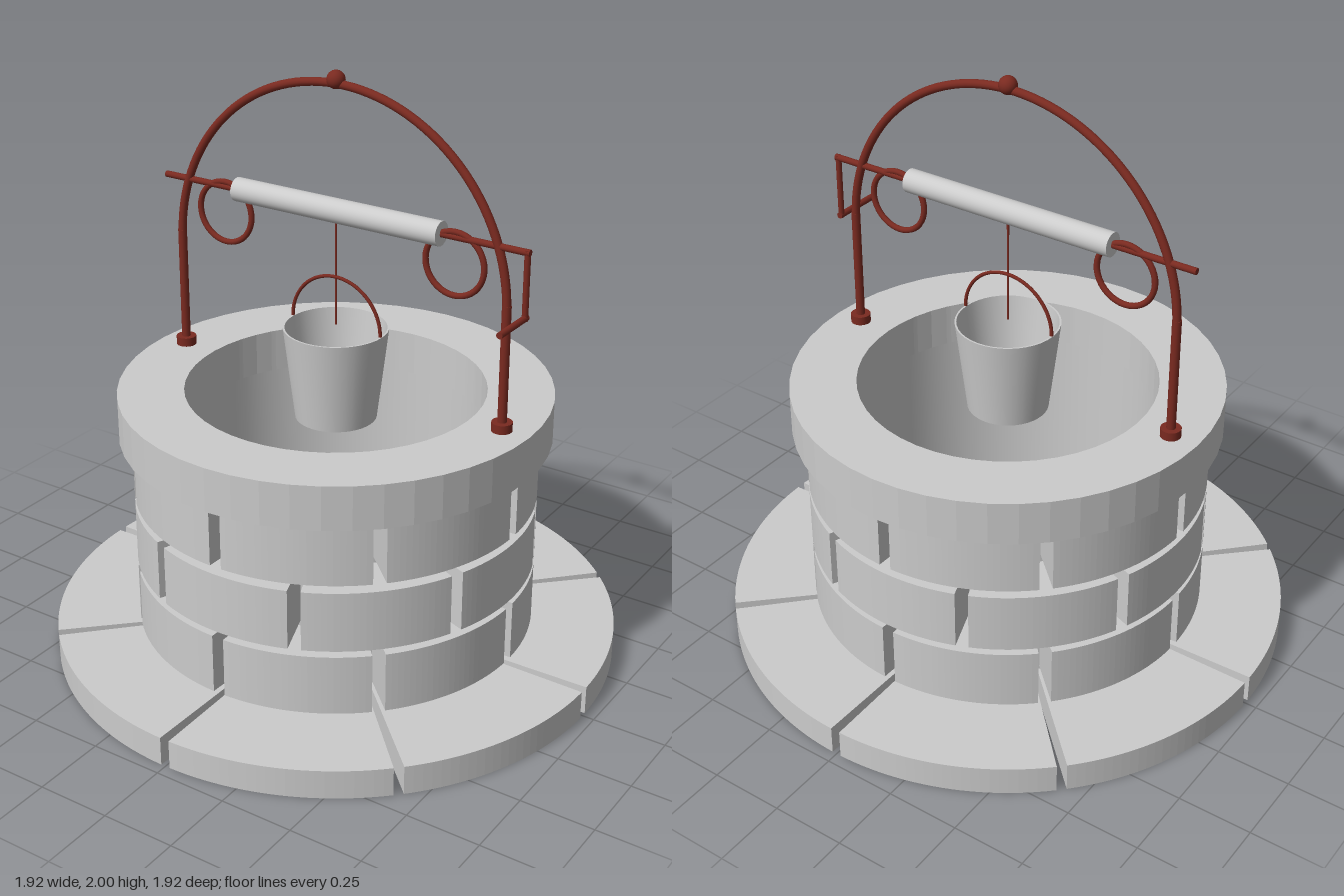
import * as THREE from 'three';

const stone = new THREE.MeshStandardMaterial({ color: 0xcccccc });
const stoneThin = new THREE.MeshStandardMaterial({ color: 0xcccccc, side: THREE.DoubleSide });
const iron = new THREE.MeshStandardMaterial({ color: 0x7a2a20 });

function add(parent, name, geometry, material, x = 0, y = 0, z = 0) {
  const mesh = new THREE.Mesh(geometry, material);
  mesh.name = name;
  mesh.position.set(x, y, z);
  parent.add(mesh);
  return mesh;
}

// Flat shape raised along y
function raise(shape, height, curveSegments) {
  return new THREE.ExtrudeGeometry(shape, { depth: height, bevelEnabled: false, curveSegments })
    .rotateX(-Math.PI / 2);
}

// Ring of eight curved blocks separated by narrow radial gaps
function blockRing(parent, name, inner, outer, y, height, gap, offset) {
  const ring = new THREE.Group();
  ring.name = name;
  const step = Math.PI / 4;
  const shape = new THREE.Shape();
  shape.absarc(0, 0, outer, gap / 2, step - gap / 2, false);
  shape.absarc(0, 0, inner, step - gap / 2, gap / 2, true);
  const geometry = raise(shape, height, 12);
  for (let i = 0; i < 8; i++) {
    add(ring, name + 'Block', geometry, stone, 0, y, 0).rotation.y = offset + i * step;
  }
  parent.add(ring);
}

// Straight round bar between two points
function bar(parent, name, from, to, radius, material, sides = 12) {
  const a = new THREE.Vector3(...from), b = new THREE.Vector3(...to);
  const dir = b.clone().sub(a);
  const mesh = add(parent, name, new THREE.CylinderGeometry(radius, radius, dir.length(), sides), material);
  mesh.position.copy(a).add(b).multiplyScalar(0.5);
  mesh.quaternion.setFromUnitVectors(new THREE.Vector3(0, 1, 0), dir.normalize());
  return mesh;
}

export function createModel() {
  const well = new THREE.Group();
  well.name = 'well';

  // Paving and staggered brick courses
  blockRing(well, 'paving', 0.503, 0.96, 0, 0.1, 0.034, 0);
  [0.11, 0.34, 0.575].forEach((y, i) =>
    blockRing(well, 'course', 0.503, 0.677, y, 0.208, 0.063, (i % 2) * Math.PI / 8));

  // Inner lining of the shaft
  add(well, 'lining', new THREE.CylinderGeometry(0.5, 0.5, 0.938, 64, 1, true), stoneThin, 0, 0.469, 0);

  // Rim
  const rim = new THREE.Shape().absarc(0, 0, 0.72, 0, Math.PI * 2, false);
  rim.holes.push(new THREE.Path().absarc(0, 0, 0.5, 0, Math.PI * 2, true));
  add(well, 'rim', raise(rim, 0.15, 24), stone, 0, 0.79, 0);

  // Arch with posts, feet and finial
  const arch = new THREE.Group();
  arch.name = 'arch';
  well.add(arch);
  add(arch, 'archBow', new THREE.TorusGeometry(0.622, 0.014, 12, 64, Math.PI), iron, 0, 1.335, 0);
  add(arch, 'finial', new THREE.SphereGeometry(0.03, 20, 14), iron, 0, 1.97, 0);
  for (const s of [-1, 1]) {
    bar(arch, 'post', [s * 0.622, 0.94, 0], [s * 0.622, 1.36, 0], 0.015, iron);
    add(arch, 'foot', new THREE.CylinderGeometry(0.034, 0.034, 0.03, 20), iron, s * 0.622, 0.955, 0);
    // Ring brace beside the roller
    add(arch, 'ringBrace', new THREE.TorusGeometry(0.104, 0.01, 10, 40), iron, s * 0.436, 1.457, 0);
  }

  // Windlass: roller, axle and crank
  const windlass = new THREE.Group();
  windlass.name = 'windlass';
  well.add(windlass);
  bar(windlass, 'roller', [-0.387, 1.545, 0], [0.387, 1.545, 0], 0.04, stone, 32);
  bar(windlass, 'axle', [-0.68, 1.545, 0], [0.694, 1.545, 0], 0.011, iron);
  bar(windlass, 'crankArm', [0.685, 1.553, 0], [0.685, 1.325, 0], 0.01, iron);
  bar(windlass, 'crankHandle', [0.685, 1.333, -0.01], [0.685, 1.333, 0.16], 0.011, iron);

  // Bucket hanging on the rope
  const bucket = new THREE.Group();
  bucket.name = 'bucket';
  well.add(bucket);
  const profile = [[0, 0.83], [0.136, 0.83], [0.174, 1.147], [0.168, 1.147], [0.132, 0.84], [0, 0.84]];
  // Separate bands keep the bucket edges sharp
  for (let i = 0; i < profile.length - 1; i++) {
    const band = [profile[i], profile[i + 1]].map(p => new THREE.Vector2(...p));
    add(bucket, 'bucketSurface', new THREE.LatheGeometry(band, 40), stoneThin);
  }
  add(bucket, 'bucketHandle', new THREE.TorusGeometry(0.17, 0.006, 8, 40, Math.PI), iron, 0, 1.15, 0);
  bar(bucket, 'rope', [0, 1.155, 0], [0, 1.52, 0], 0.004, iron, 8);

  return well;
}
